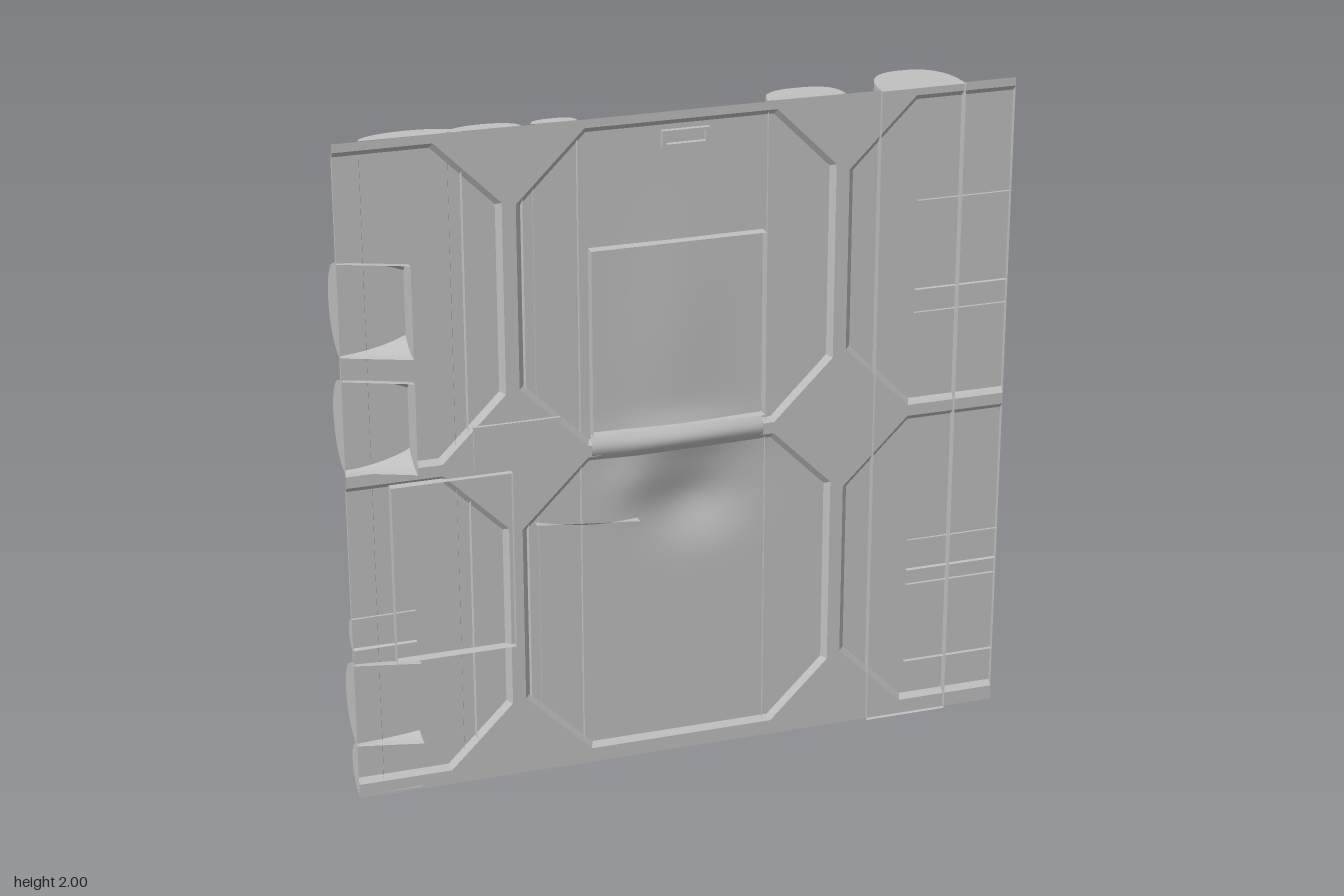
import * as THREE from 'three';

const grey = new THREE.MeshStandardMaterial({ color: 0xc0c0c0, side: THREE.DoubleSide });
grey.name = 'panel grey';

const FRAME = 0.037, RECESS = 0.022;

// Grid surface from a rule; keep(u, v) can leave out cells
function surface(nu, nv, fn, keep = () => true) {
  const pos = [], idx = [];
  for (let j = 0; j <= nv; j++) for (let i = 0; i <= nu; i++) pos.push(...fn(i / nu, j / nv));
  for (let j = 0; j < nv; j++) for (let i = 0; i < nu; i++) {
    if (!keep((i + 0.5) / nu, (j + 0.5) / nv)) continue;
    const a = j * (nu + 1) + i, b = a + 1, c = a + nu + 1, d = c + 1;
    idx.push(a, b, d, a, d, c);
  }
  const g = new THREE.BufferGeometry();
  g.setAttribute('position', new THREE.Float32BufferAttribute(pos, 3));
  g.setIndex(idx);
  g.computeVertexNormals();
  return g;
}

function add(group, name, geometry) {
  const m = new THREE.Mesh(geometry, grey);
  m.name = name;
  group.add(m);
  return m;
}

const gauss = (x, y, cx, cy, sx, sy) => Math.exp(-(((x - cx) / sx) ** 2) - ((y - cy) / sy) ** 2);

// Dents hammered into the middle of the sheet
const dent = (x, y) => 0.02 * gauss(x, y, 0, 1.02, 0.2, 0.06)
  - 0.035 * gauss(x, y, 0.03, 0.8, 0.13, 0.1)
  + 0.012 * gauss(x, y, -0.15, 0.9, 0.08, 0.08)
  + 0.008 * gauss(x, y, -0.02, 1.35, 0.13, 0.3);

// Chamfered outline, inset by d; a chamfer of 0 marks a side cut by the panel edge
function octagon({ x0, x1, y0, y1, cl, cr }, d) {
  const l = cl ? x0 + d : x0, r = cr ? x1 - d : x1, b = y0 + d, t = y1 - d;
  const k = 0.586 * d, p = cl ? cl - k : 0.0005, q = cr ? cr - k : 0.0005;
  return [[l + p, b], [r - q, b], [r, b + q], [r, t - q], [r - q, t], [l + p, t], [l, t - p], [l, b + p]];
}

// Recessed sheet filling an outline row by row
function recess(o, d) {
  const [p0, p1, p2, , , p5, , p7] = octagon(o, d);
  const p = p0[0] - p7[0], q = p2[0] - p1[0], b = p0[1], t = p5[1];
  return surface(40, 48, (u, v) => {
    const y = b + (t - b) * v, e = Math.min(y - b, t - y);
    const l = p7[0] + Math.max(0, p - e), r = p2[0] - Math.max(0, q - e);
    const x = l + (r - l) * u;
    return [x, y, RECESS + dent(x, y)];
  });
}

// Half-round depth profile with a flattened crown
const hump = (x, x0, x1, rim, peak, n = 2) => {
  const t = Math.min(1, Math.abs((2 * x - x0 - x1) / (x1 - x0)));
  return rim + (peak - rim) * Math.pow(Math.max(0, 1 - t ** n), 1 / n);
};
const spread = (u, a, b) => (a + b) / 2 - ((b - a) / 2) * Math.cos(Math.PI * u);

// Vertical duct shell, open to the front and closed at top and bottom
function duct(group, name, x0, x1, rim, peak, n = 2, bend = () => 0, keep) {
  const g = new THREE.Group();
  g.name = name;
  const z = x => hump(x, x0, x1, rim, peak, n);
  add(g, name + 'Shell', surface(32, 100, (u, v) => {
    const x = spread(u, x0, x1);
    return [x, 2 * v, z(x) + bend(x, 2 * v)];
  }, keep));
  for (const y of [0, 2]) add(g, name + 'Cap', surface(32, 1, (u, v) => {
    const x = spread(u, x0, x1);
    return [x, y, rim + (z(x) - rim) * v];
  }));
  group.add(g);
}

// Horizontal half pipe, optionally swung forward towards its inner end
function crossPipe(group, name, xa, xb, y, r, depth, rimA, rimB, innerCap) {
  const g = new THREE.Group();
  g.name = name;
  const arc = (u, x, rim, s) => [x, y - r * Math.cos(Math.PI * u), rim - depth * Math.sin(Math.PI * u) * s];
  add(g, name + 'Shell', surface(24, 1, (u, v) => arc(u, xa + (xb - xa) * v, rimA + (rimB - rimA) * v, 1)));
  add(g, name + 'OuterCap', surface(24, 1, (u, v) => arc(u, xa, rimA, v)));
  if (innerCap) add(g, name + 'InnerCap', surface(24, 1, (u, v) => arc(u, xb, rimB, v)));
  group.add(g);
}

// Shallow box open to the front, with a bevelled back
function tray(group, name, x0, x1, y0, y1, front, back, bevel) {
  const g = new THREE.Group();
  g.name = name;
  const ring = (d, z) => [[x0 + d, y0 + d, z], [x1 - d, y0 + d, z], [x1 - d, y1 - d, z], [x0 + d, y1 - d, z]];
  const loops = [ring(0, front), ring(0, back + bevel), ring(bevel, back)];
  for (let k = 0; k < 2; k++) for (let i = 0; i < 4; i++)
    add(g, name + 'Side', surface(1, 1, (u, v) => loops[k + v][(i + u) % 4]));
  const w = x1 - x0 - 2 * bevel, h = y1 - y0 - 2 * bevel;
  add(g, name + 'Back', new THREE.PlaneGeometry(w, h).rotateY(Math.PI)
    .translate((x0 + x1) / 2, (y0 + y1) / 2, back));
  group.add(g);
}

export function createModel() {
  const root = new THREE.Group();
  root.name = 'wallPanel';

  // Frame sheet with six chamfered openings, sloped edges and recessed sheets
  const cells = [];
  for (const [y0, y1] of [[0.045, 0.99], [1.025, 1.975]]) {
    cells.push({ x0: -0.9995, x1: -0.53, y0, y1, cl: 0, cr: 0.19 },
      { x0: -0.49, x1: 0.455, y0, y1, cl: 0.2, cr: 0.18 },
      { x0: 0.495, x1: 0.9995, y0, y1, cl: 0.2, cr: 0 });
  }
  const sheet = new THREE.Shape([[-1, 0], [1, 0], [1, 2], [-1, 2]].map(p => new THREE.Vector2(...p)));
  for (const c of cells) {
    sheet.holes.push(new THREE.Path(octagon(c, 0).map(p => new THREE.Vector2(...p))));
    const outer = octagon(c, 0), inner = octagon(c, 0.016);
    add(root, 'openingEdge', surface(8, 1, (u, v) => {
      const i = Math.round(u * 8) % 8;
      return v ? [...inner[i], RECESS] : [...outer[i], FRAME];
    }).toNonIndexed()).geometry.computeVertexNormals();
    add(root, 'recessedSheet', recess(c, 0.016));
  }
  add(root, 'frame', new THREE.ShapeGeometry(sheet).translate(0, 0, FRAME));

  // Crumpled strip over the middle crossbar
  add(root, 'bentCrossbar', surface(40, 12, (u, v) => {
    const x = -0.28 + 0.52 * u, y = 0.975 + 0.08 * v;
    return [x, y, 0.024 + 0.017 * Math.sin(Math.PI * v) + dent(x, y) * 0.8];
  }));

  // Torn fold below the crossbar
  add(root, 'tornFold', surface(8, 1, (u, v) => {
    const y = 0.803 - 0.03 * u;
    return [-0.45 + 0.31 * u, y - (v ? 0 : 0.016 * Math.sin(Math.PI * u)), v ? 0.05 : 0.023];
  }));

  // Vertical ducts on the back
  duct(root, 'largeDuct', 0.585, 0.84, 0.05, -0.13, 2.5);
  const torn = (u, v) => {
    const x = spread(u, 0.25, 0.48), y = 2 * v;
    if (y < 0.78 || y > 1.57) return true;
    const mid = 0.385 + 0.012 * Math.sin(y * 17);
    const half = 0.045 - 0.028 * Math.exp(-(((y - 1.08) / 0.05) ** 2)) + 0.009 * Math.sin(y * 31);
    return Math.abs(x - mid) > half;
  };
  duct(root, 'tornDuct', 0.25, 0.48, 0.033, -0.063, 2.6, undefined, torn);
  duct(root, 'slimDuct', -0.44, -0.31, 0.033, -0.003, 2.6);
  duct(root, 'innerLowDuct', -0.68, -0.47, 0.033, -0.012, 2,
    (x, y) => 0.025 * gauss(x, y, -0.58, 1.5, 0.05, 0.14));
  duct(root, 'outerLowDuct', -0.925, -0.64, 0.033, -0.02, 2);

  // Horizontal half pipes at both ends: height, radius, depth, left inner rim, inner cap
  const rows = [[1.52, 0.137, 0.125, 0.112, true], [1.175, 0.137, 0.125, 0.115, true],
    [0.53, 0.05, 0.045, 0.033, false], [0.302, 0.13, 0.125, 0.08, false], [0.092, 0.082, 0.075, 0.04, false]];
  for (const [y, r, depth, rim, cap] of rows) {
    crossPipe(root, 'leftPipe', 1, 0.71, y, r, depth, 0.033, 0.033, false);
    crossPipe(root, 'rightPipe', -1, -0.81, y, r, depth, 0.036, rim, cap);
  }

  // Boxes let into the sheet from the back
  tray(root, 'accessPanel', -0.28, 0.24, 1.06, 1.62, 0.056, 0, 0.018);
  tray(root, 'equipmentBox', -0.875, -0.52, 0.43, 0.98, 0.055, -0.105, 0.012);

  // Patch plate on the front
  add(root, 'patchPlate', new THREE.BoxGeometry(0.255, 0.13, 0.009)).position.set(-0.502, 1.065, 0.042);

  // Small slot handle near the top
  const slot = new THREE.Group();
  slot.name = 'slot';
  for (const s of [-1, 1]) {
    add(slot, 'slotRail', new THREE.BoxGeometry(0.14, 0.008, 0.035)).position.set(0, s * 0.02, 0);
    add(slot, 'slotEnd', new THREE.BoxGeometry(0.012, 0.032, 0.035)).position.set(s * 0.064, 0, 0);
  }
  slot.position.set(0.005, 1.92, 0.02);
  root.add(slot);

  return root;
}
